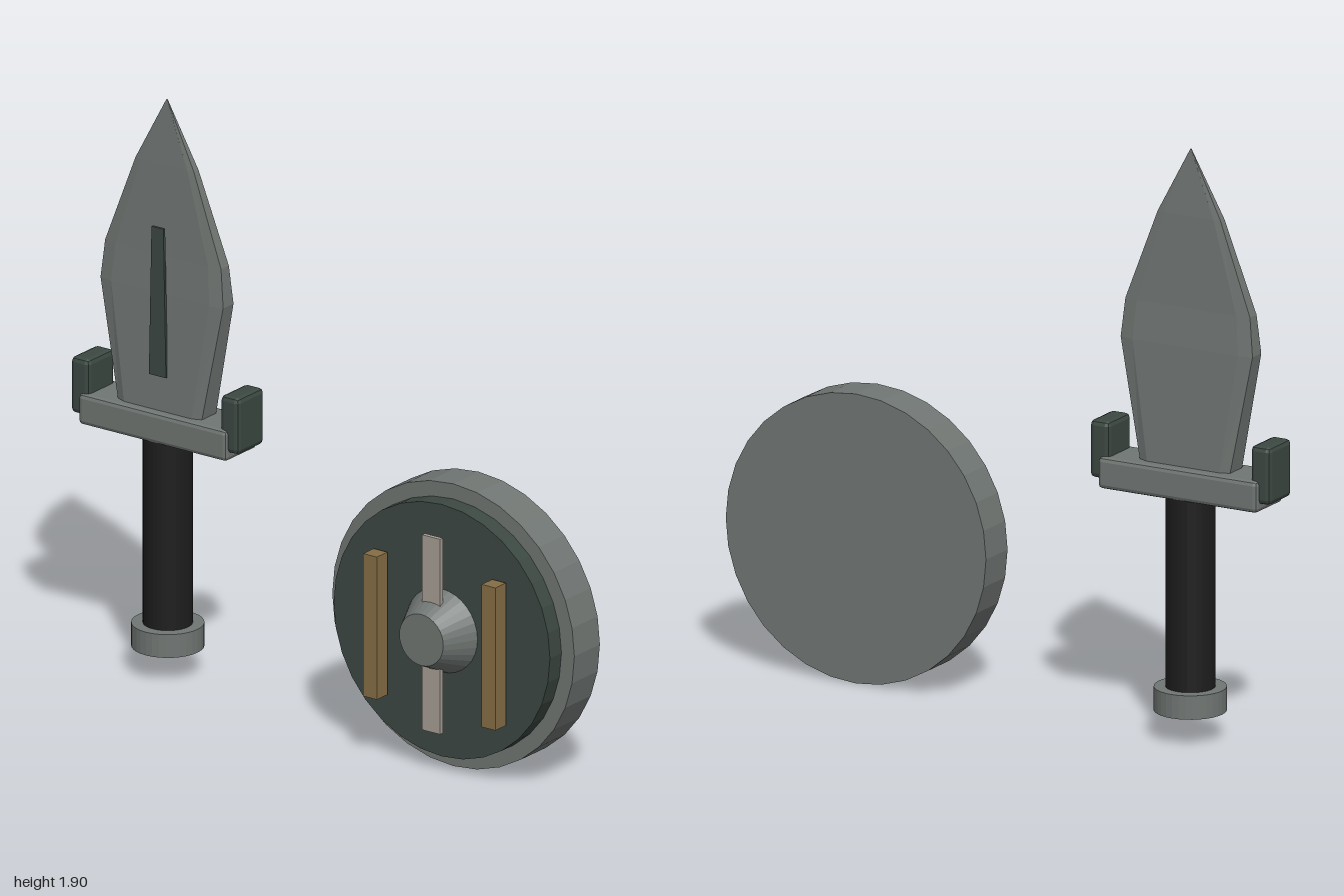
import * as THREE from 'three';
import { RoundedBoxGeometry } from 'three/addons/geometries/RoundedBoxGeometry.js';

// Faceted shading without touching the material
function facet(geometry) {
  const g = geometry.index ? geometry.toNonIndexed() : geometry;
  g.computeVertexNormals();
  return g;
}

// Blade lofted from octagonal cross-sections: flat faces, slight bevels, blunt edges
function bladeGeometry() {
  // height, half width, half thickness
  const sections = [
    [0.87, 0.159, 0.05], [1.27, 0.237, 0.036], [1.395, 0.224, 0.027],
    [1.69, 0.113, 0.016], [1.905, 0.001, 0.001],
  ];
  const positions = [];
  const index = [];
  for (const [y, w, t] of sections) {
    const f = w * 0.8;
    const e = t * 0.75;
    positions.push(w, y, -e, w, y, e, f, y, t, -f, y, t, -w, y, e, -w, y, -e, -f, y, -t, f, y, -t);
  }
  for (let s = 0; s < sections.length - 1; s++) {
    for (let i = 0; i < 8; i++) {
      const a = s * 8 + i;
      const b = s * 8 + ((i + 1) % 8);
      index.push(a, a + 8, b, b, a + 8, b + 8);
    }
  }
  for (let i = 1; i < 7; i++) index.push(0, i, i + 1);
  const g = new THREE.BufferGeometry();
  g.setAttribute('position', new THREE.Float32BufferAttribute(positions, 3));
  g.setIndex(index);
  return facet(g);
}

export function createModel() {
  const paint = (name, color) => {
    const m = new THREE.MeshStandardMaterial({ color });
    m.name = name;
    return m;
  };
  const steel = paint('steel', 0x707673);
  const green = paint('darkGreen', 0x3c4842);
  const brass = paint('brass', 0x866e46);
  const ivory = paint('ivory', 0xa69f95);
  const leather = paint('blackLeather', 0x1d1d1d);

  const add = (parent, name, geometry, material, x = 0, y = 0, z = 0) => {
    const mesh = new THREE.Mesh(geometry, material);
    mesh.name = name;
    mesh.position.set(x, y, z);
    parent.add(mesh);
  };

  const model = new THREE.Group();
  model.name = 'swordAndShield';

  // Sword, built around its own long axis
  const sword = new THREE.Group();
  sword.name = 'sword';
  sword.position.set(-0.673, 0, -0.095);
  model.add(sword);

  add(sword, 'pommel', facet(new THREE.CylinderGeometry(0.114, 0.114, 0.077, 32)), steel, 0, 0.13, 0);
  add(sword, 'grip', facet(new THREE.CylinderGeometry(0.078, 0.078, 0.63, 32)), leather, 0, 0.48, 0);
  add(sword, 'guard', facet(new RoundedBoxGeometry(0.573, 0.102, 0.167, 1, 0.014)), steel, 0, 0.836, 0);
  for (const side of [-1, 1]) {
    add(sword, side < 0 ? 'rightProng' : 'leftProng',
      facet(new RoundedBoxGeometry(0.072, 0.187, 0.139, 1, 0.016)), green, side * 0.289, 0.905, 0.002);
  }
  add(sword, 'blade', bladeGeometry(), steel, 0, 0, 0.004);

  // Tapered inlay on the front of the blade
  const inlay = new THREE.Shape([
    new THREE.Vector2(-0.033, 1.0), new THREE.Vector2(0.033, 1.0),
    new THREE.Vector2(0.023, 1.492), new THREE.Vector2(-0.023, 1.492),
  ]);
  add(sword, 'bladeInlay', new THREE.ExtrudeGeometry(inlay, { depth: 0.009, bevelEnabled: false }), green, 0, 0, 0.045);

  // Shield, facing +z
  const shield = new THREE.Group();
  shield.name = 'shield';
  shield.position.set(0.531, 0.468, 0);
  model.add(shield);

  const disc = (name, back, front, rBack, rFront, material) => {
    const g = new THREE.CylinderGeometry(rFront, rBack, front - back, 32).rotateX(Math.PI / 2);
    add(shield, name, facet(g), material, 0, 0, (front + back) / 2);
  };
  disc('shieldBody', -0.093, 0.04, 0.468, 0.468, steel);
  disc('shieldFace', 0.04, 0.1, 0.418, 0.418, green);
  disc('shieldBoss', 0.09, 0.207, 0.143, 0.085, steel);

  add(shield, 'centreStrip', new THREE.BoxGeometry(0.07, 0.647, 0.015), ivory, 0, 0.003, 0.149);
  for (const side of [-1, 1]) {
    add(shield, side < 0 ? 'rightBar' : 'leftBar',
      new THREE.BoxGeometry(0.053, 0.473, 0.055), brass, side * 0.229, -0.019, 0.138);
  }
  return model;
}
